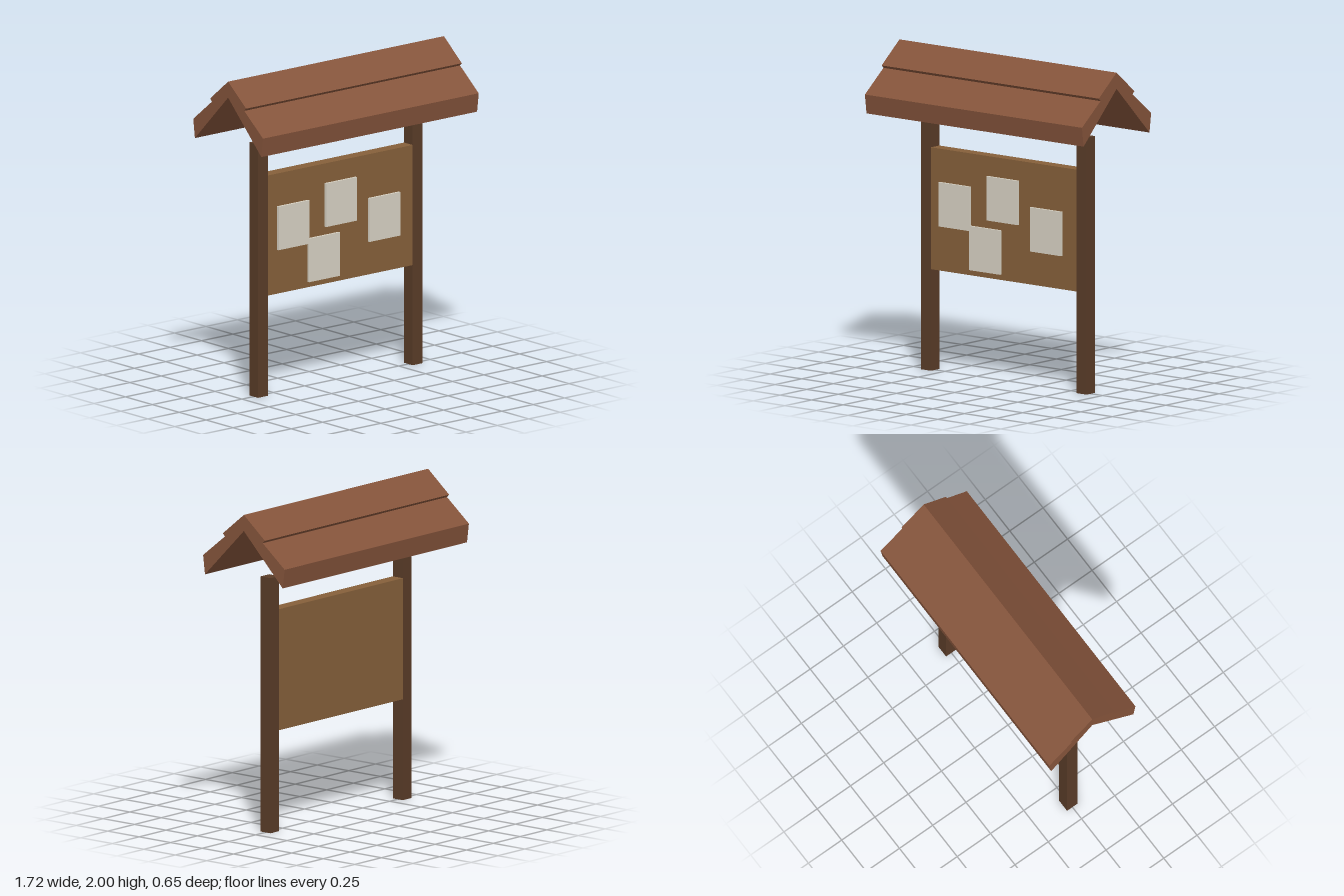
import * as THREE from 'three';

const material = (color) => new THREE.MeshStandardMaterial({ color, flatShading: true });

export function createModel() {
  const model = new THREE.Group();
  model.name = 'noticeBoard';

  const postWood = material(0x5a3c28);
  const boardWood = material(0x86603a);
  const roofWood = material(0x85543b);
  const paper = material(0xd8d2c4);

  const add = (name, geometry, mat, x = 0, y = 0, z = 0) => {
    const mesh = new THREE.Mesh(geometry, mat);
    mesh.name = name;
    mesh.position.set(x, y, z);
    model.add(mesh);
  };

  // Two square posts
  for (const side of [1, -1]) {
    add(side > 0 ? 'leftPost' : 'rightPost',
      new THREE.BoxGeometry(0.08, 1.58, 0.08), postWood, side * 0.617, 0.79, 0);
  }

  // Panel flush between the posts
  add('panel', new THREE.BoxGeometry(1.154, 0.75, 0.08), boardWood, 0, 1.0, 0);

  // Pinned sheets: centre x, centre y
  const sheets = [[-0.381, 1.035], [-0.002, 1.117], [0.343, 0.967], [-0.139, 0.795]];
  sheets.forEach(([x, y], i) =>
    add(`sheet${i + 1}`, new THREE.BoxGeometry(0.245, 0.272, 0.015), paper, x, y, 0.0475));

  // Gable roof: stepped half profile (z, y) from ridge to eave, mirrored
  const half = [[0.167, 1.863], [0.15, 1.846], [0.324, 1.706], [0.309, 1.588]];
  const outline = [
    [0, 2], ...half, [0, 1.9],
    ...half.map(([z, y]) => [-z, y]).reverse(),
  ];
  const shape = new THREE.Shape(outline.map(([z, y]) => new THREE.Vector2(z, y)));
  const roof = new THREE.ExtrudeGeometry(shape, { depth: 1.72, bevelEnabled: false });
  roof.translate(0, 0, -0.86);
  roof.rotateY(Math.PI / 2);
  add('roof', roof, roofWood);

  return model;
}
